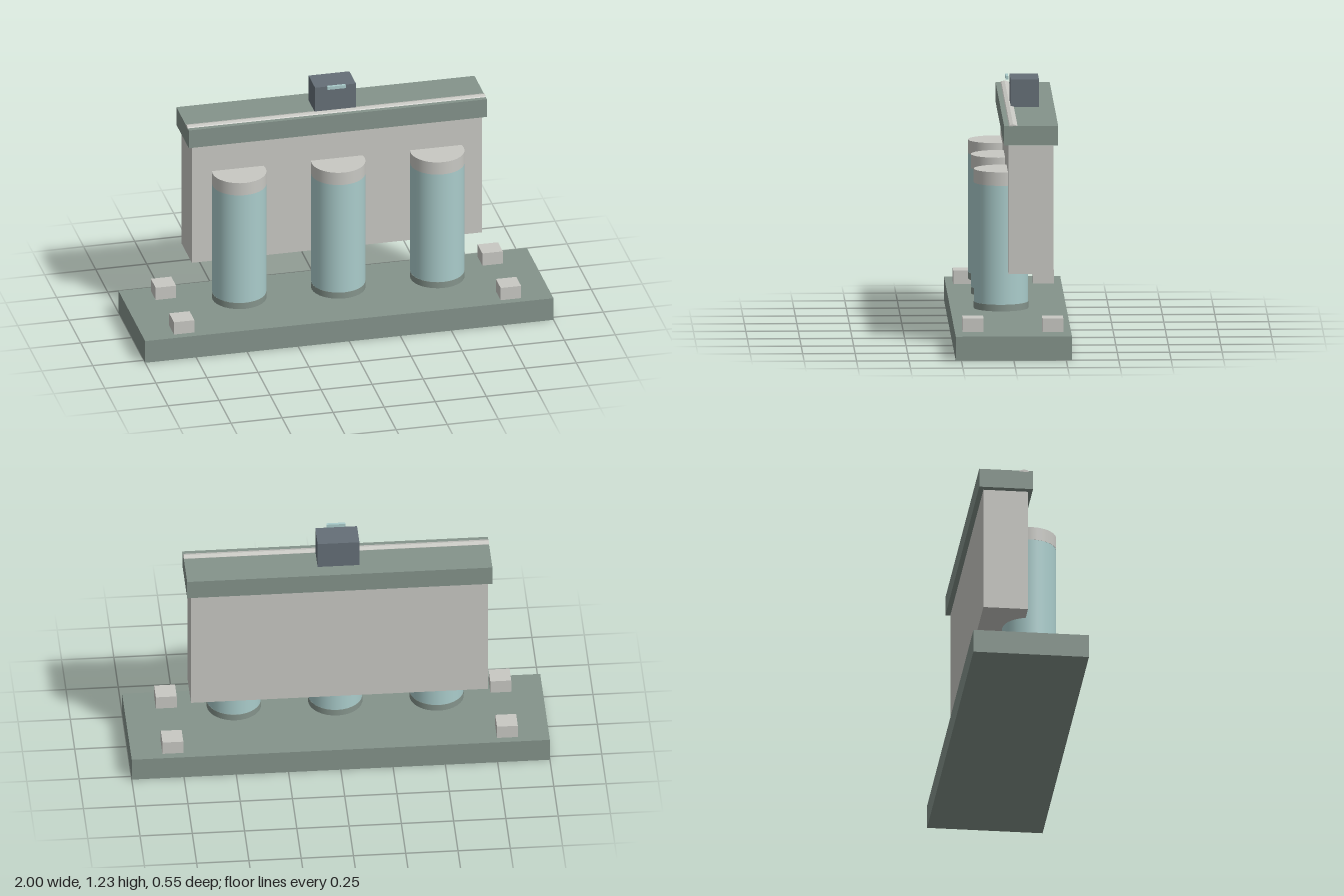
import * as THREE from 'three';

const mat = (name, color) => {
  const m = new THREE.MeshStandardMaterial({ color });
  m.name = name;
  return m;
};

export function createModel() {
  const model = new THREE.Group();
  const green = mat('grey green', 0x84938b);
  const stone = mat('pale grey', 0xc8c8c3);
  const teal = mat('pale teal', 0xaacccb);
  const slate = mat('slate', 0x656f77);

  const add = (name, geometry, material, x, y, z, parent = model) => {
    const mesh = new THREE.Mesh(geometry, material);
    mesh.name = name;
    mesh.position.set(x, y, z);
    parent.add(mesh);
    return mesh;
  };
  // Box given by its extents
  const box = (name, material, [x0, x1], [y0, y1], [z0, z1]) =>
    add(name, new THREE.BoxGeometry(x1 - x0, y1 - y0, z1 - z0), material,
      (x0 + x1) / 2, (y0 + y1) / 2, (z0 + z1) / 2);

  // Base slab with four corner blocks
  box('base', green, [-1, 1], [0, 0.115], [-0.277, 0.277]);
  for (const sx of [-1, 1])
    for (const sz of [-1, 1])
      add('cornerBlock', new THREE.BoxGeometry(0.1, 0.065, 0.1), stone, sx * 0.8, 0.1475, sz * 0.19);

  // Back wall, lid and top block
  box('wall', stone, [-0.71, 0.71], [0.373, 0.99], [-0.197, 0.017]);
  box('lid', green, [-0.73, 0.73], [0.996, 1.09], [-0.219, 0.039]);
  box('topBlock', slate, [-0.1, 0.1], [1.09, 1.222], [-0.145, -0.01]);
  box('topPlate', teal, [-0.045, 0.045], [1.215, 1.231], [0, 0.013]);

  // Low ridged rail along the lid
  const profile = new THREE.Shape([[-0.02, 1.085], [0.025, 1.085], [0.025, 1.091], [0.004, 1.098], [-0.012, 1.094]]
    .map(([z, y]) => new THREE.Vector2(z, y)));
  const railGeometry = new THREE.ExtrudeGeometry(profile, { depth: 1.46, bevelEnabled: false });
  railGeometry.rotateY(Math.PI / 2);
  railGeometry.scale(1, 1, -1); // profile x becomes +z after mirroring below
  railGeometry.scale(1, 1, -1);
  add('rail', railGeometry, stone, -0.73, 0, 0);

  // Three columns, each with a foot ring and a cap
  for (const x of [-0.485, 0, 0.485]) {
    const column = new THREE.Group();
    column.name = 'column';
    column.position.set(x, 0, 0.047);
    model.add(column);
    const drum = (name, material, r, y0, y1) =>
      add(name, new THREE.CylinderGeometry(r, r, y1 - y0, 32), material, 0, (y0 + y1) / 2, 0, column);
    drum('columnFoot', green, 0.13, 0.18, 0.212);
    drum('columnBody', teal, 0.129, 0.212, 0.785);
    drum('columnCap', stone, 0.13, 0.785, 0.85);
  }
  return model;
}
